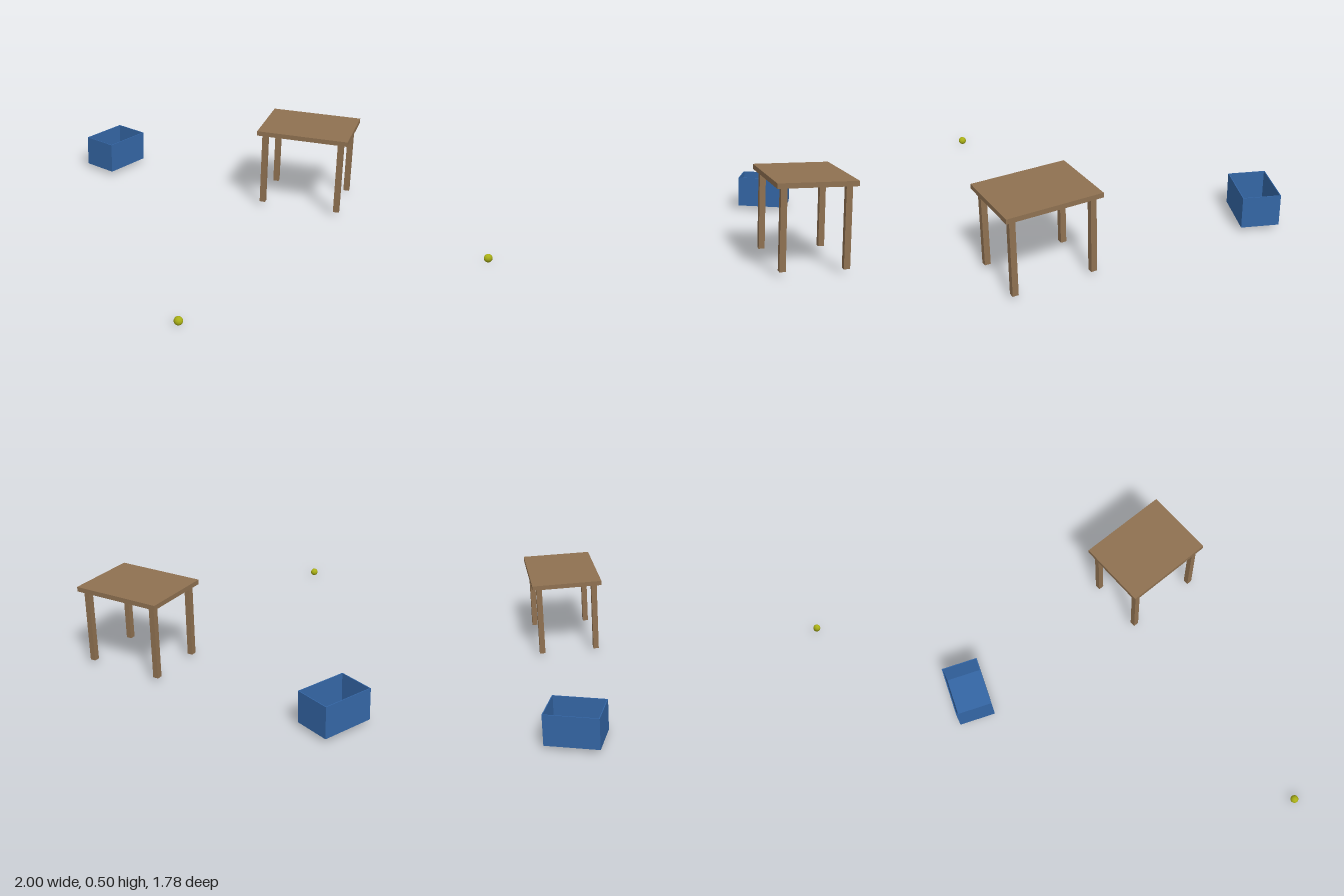
import * as THREE from 'three';

export function createModel() {
  const model = new THREE.Group();
  const makeMaterial = (name, color) => {
    const m = new THREE.MeshStandardMaterial({ color });
    m.name = name;
    return m;
  };
  const wood = makeMaterial('brown wood', 0x8f7151);
  const blue = makeMaterial('blue plastic', 0x3466a5);
  const yellow = makeMaterial('yellow green felt', 0xa8ae16);

  const addBox = (parent, name, material, size, position) => {
    const mesh = new THREE.Mesh(new THREE.BoxGeometry(...size), material);
    mesh.name = name;
    mesh.position.set(...position);
    parent.add(mesh);
  };
  const addGroup = (name, x, y, z, degrees) => {
    const group = new THREE.Group();
    group.name = name;
    group.position.set(x, y, z);
    group.rotation.y = THREE.MathUtils.degToRad(degrees);
    model.add(group);
    return group;
  };

  const floorY = 0.025;

  // Table: thin top on four square legs
  const table = addGroup('table', 0.716, floorY, 0.566, 15.8);
  const legHeight = 0.447, topThickness = 0.028, legWidth = 0.034;
  addBox(table, 'tableTop', wood, [0.433, topThickness, 0.55], [0, legHeight + topThickness / 2, 0]);
  for (const sx of [-1, 1]) {
    for (const sz of [-1, 1]) {
      const name = (sz > 0 ? 'front' : 'back') + (sx > 0 ? 'Left' : 'Right') + 'Leg';
      addBox(table, name, wood, [legWidth, legHeight, legWidth], [sx * 0.173, legHeight / 2, sz * 0.231]);
    }
  }

  // Open storage bin: floor and four thin walls
  const bin = addGroup('bin', 0.458, floorY, -0.76, -5.4);
  const w = 0.314, h = 0.19, d = 0.223, t = 0.005;
  addBox(bin, 'binFloor', blue, [w, t, d], [0, t / 2, 0]);
  for (const s of [-1, 1]) {
    addBox(bin, s > 0 ? 'binLeftWall' : 'binRightWall', blue, [t, h - t, d], [s * (w - t) / 2, (h + t) / 2, 0]);
    addBox(bin, s > 0 ? 'binFrontWall' : 'binBackWall', blue, [w - 2 * t, h - t, t], [0, (h + t) / 2, s * (d - t) / 2]);
  }

  // Ball
  const radius = 0.0235;
  const ball = new THREE.Mesh(new THREE.SphereGeometry(radius, 32, 20), yellow);
  ball.name = 'ball';
  ball.position.set(-1 + radius, radius, 0.77);
  model.add(ball);

  return model;
}
